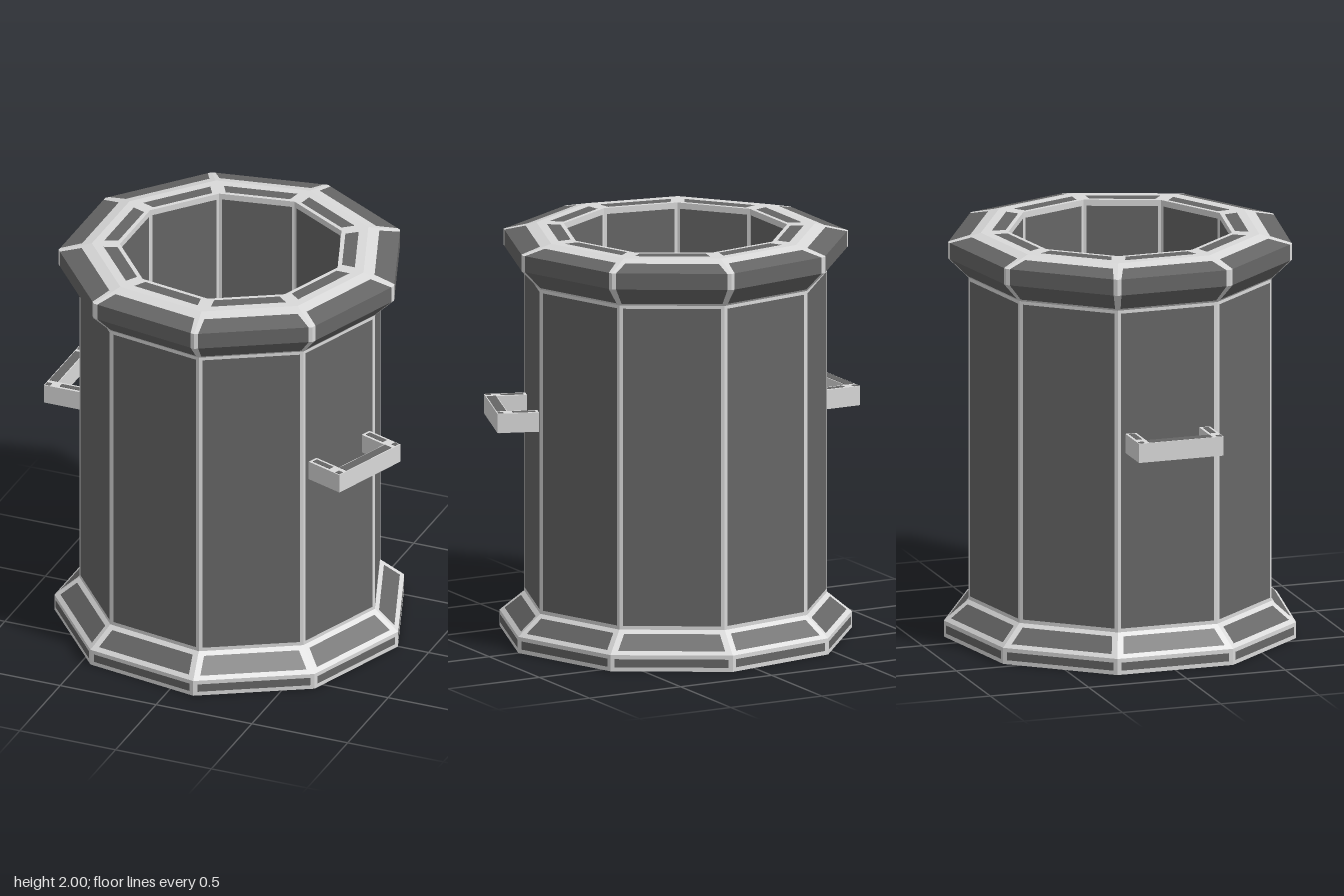
import * as THREE from 'three';

const SIDES = 9;
const STEP = (Math.PI * 2) / SIDES;

export function createModel() {
  const light = new THREE.MeshStandardMaterial({ color: 0xd9d9d9 });
  light.name = 'pale trim';
  const dark = new THREE.MeshStandardMaterial({ color: 0x666666 });
  dark.name = 'dark panel';

  const model = new THREE.Group();
  model.name = 'barrel';
  // The nine-sided body has a corner on +x, so its axis sits slightly off centre
  const barrel = new THREE.Group();
  barrel.name = 'barrelBody';
  barrel.position.x = -0.02;
  model.add(barrel);

  const quad = (out, a, b, c, d) => {
    for (const p of [a, b, c, a, c, d]) out.push(p.x, p.y, p.z);
  };
  const addMesh = (name, positions, material) => {
    if (!positions.length) return;
    const geo = new THREE.BufferGeometry();
    geo.setAttribute('position', new THREE.Float32BufferAttribute(positions, 3));
    geo.computeVertexNormals();
    const mesh = new THREE.Mesh(geo, material);
    mesh.name = name;
    barrel.add(mesh);
  };

  // Ring of plain facets from [radius, y] to [radius, y]
  const at = (p, a) => new THREE.Vector3(p[0] * Math.cos(a), p[1], p[0] * Math.sin(a));
  const plainRing = (name, p0, p1, material) => {
    const out = [];
    for (let i = 0; i < SIDES; i++) {
      const a0 = i * STEP, a1 = a0 + STEP;
      quad(out, at(p0, a0), at(p1, a0), at(p1, a1), at(p0, a1));
    }
    addMesh(name, out, material);
  };

  // Ring of facets, each a dark panel inside a pale frame.
  // m0, m1: frame width at start and end; s0, s1: frame width at the sides
  const panelRing = (name, p0, p1, m0, m1, s0, s1 = s0) => {
    const frame = [], panel = [];
    for (let i = 0; i < SIDES; i++) {
      const a0 = i * STEP, a1 = a0 + STEP;
      const A = at(p0, a0), B = at(p1, a0), C = at(p1, a1), D = at(p0, a1);
      const length = A.clone().add(D).distanceTo(B.clone().add(C)) / 2;
      const inset = (v, s) => {
        const l = A.clone().lerp(B, v), r = D.clone().lerp(C, v);
        const t = s / l.distanceTo(r);
        return [l.clone().lerp(r, t), r.clone().lerp(l, t)];
      };
      const [a, d] = inset(m0 / length, s0);
      const [b, c] = inset(1 - m1 / length, s1);
      quad(panel, a, b, c, d);
      quad(frame, A, B, b, a);
      quad(frame, D, d, c, C);
      if (m1 > 0) quad(frame, B, C, c, b);
      if (m0 > 0) quad(frame, A, a, d, D);
    }
    addMesh(name + 'Frame', frame, light);
    addMesh(name + 'Panels', panel, dark);
  };

  // Underside
  plainRing('undersideCentre', [0, 0], [0.48, 0], dark);
  plainRing('undersideRing', [0.48, 0], [0.56, 0], light);
  plainRing('undersideOuter', [0.56, 0], [0.845, 0], dark);
  plainRing('undersideEdge', [0.845, 0], [0.86, 0], light);

  // Foot, wall and rim
  panelRing('footSide', [0.86, 0], [0.86, 0.08], 0.02, 0.02, 0.02);
  panelRing('footSlope', [0.86, 0.08], [0.74, 0.18], 0.025, 0.025, 0.03);
  panelRing('wall', [0.74, 0.18], [0.74, 1.78], 0.018, 0.016, 0.017);
  panelRing('rimUnder', [0.74, 1.78], [0.84, 1.88], 0.015, 0, 0.014, 0.02);
  panelRing('rimSide', [0.84, 1.88], [0.84, 1.96], 0, 0, 0.02);
  panelRing('rimSlope', [0.84, 1.96], [0.68, 2], 0, 0.055, 0.02, 0.026);
  panelRing('rimTop', [0.68, 2], [0.545, 2], 0.044, 0.02, 0.035);

  // Hollow inside
  panelRing('innerWall', [0.545, 2], [0.545, 0.1], 0.03, 0.02, 0.014);
  plainRing('floorEdge', [0.545, 0.1], [0.505, 0.1], light);
  plainRing('floor', [0.505, 0.1], [0, 0.1], dark);

  // U-shaped handles
  const H = 0.095, OUT = 0.897, IN = 0.68, HALF = 0.215, T = 0.055;
  const outline = new THREE.Shape([
    [IN, -HALF], [OUT, -HALF], [OUT, HALF], [IN, HALF],
    [IN, HALF - T], [OUT - T, HALF - T], [OUT - T, T - HALF], [IN, T - HALF],
  ].map(([x, y]) => new THREE.Vector2(x, y)));
  const gripGeo = new THREE.ExtrudeGeometry(outline, { depth: H, bevelEnabled: false });
  gripGeo.rotateX(-Math.PI / 2);
  gripGeo.translate(0, -H / 2, 0);

  const addHandle = (name, angle) => {
    const handle = new THREE.Group();
    handle.name = name;
    handle.position.y = 1.1175;
    handle.rotation.y = -angle;
    const grip = new THREE.Mesh(gripGeo, light);
    grip.name = 'grip';
    handle.add(grip);
    // Dark inlays above and below
    const inlay = (w, d, x, z) => {
      for (const side of [-1, 1]) {
        const plate = new THREE.Mesh(new THREE.BoxGeometry(w, 0.004, d), dark);
        plate.name = 'gripInlay';
        plate.position.set(x, side * H / 2, z);
        handle.add(plate);
      }
    };
    inlay(0.045, 0.32, OUT - T / 2, 0);
    for (const s of [-1, 1]) {
      inlay(0.025, 0.025, OUT - 0.018, s * (HALF - 0.018));
      inlay(0.11, 0.028, 0.765, s * (HALF - T / 2));
    }
    barrel.add(handle);
  };
  addHandle('leftHandle', STEP / 2);
  addHandle('rightHandle', Math.PI);

  return model;
}
